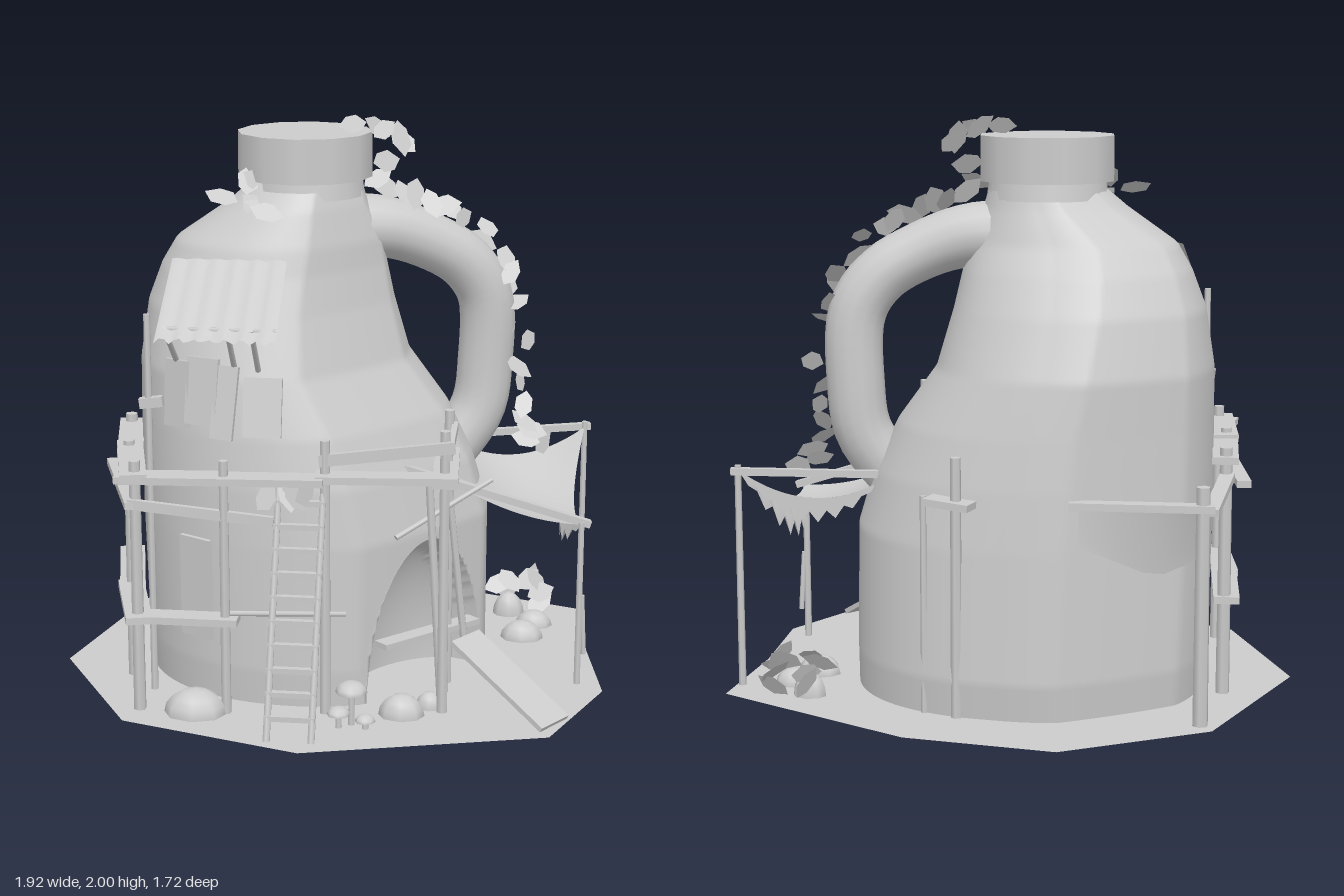
import * as THREE from 'three';

const grey = new THREE.MeshStandardMaterial({ color: 0xcccccc, side: THREE.DoubleSide });
grey.name = 'weatheredGrey';
const V = (x, y, z) => new THREE.Vector3(x, y, z);
let seed = 7;
const rnd = () => (seed = (seed * 16807) % 2147483647) / 2147483647;

// Jug cross-sections: y, xMin, xMax, zMin, zMax
const SECTIONS = [
  [0.03, -0.68, 0.53, -0.62, 0.47], [0.16, -0.69, 0.53, -0.635, 0.48], [0.6, -0.7, 0.53, -0.61, 0.48],
  [0.8, -0.7, 0.47, -0.59, 0.47], [0.97, -0.7, 0.385, -0.565, 0.445], [1.16, -0.7, 0.245, -0.53, 0.4],
  [1.36, -0.67, 0.19, -0.45, 0.33], [1.49, -0.62, 0.165, -0.38, 0.28], [1.58, -0.565, 0.15, -0.32, 0.25],
  [1.7, -0.39, 0.1, -0.27, 0.19], [1.76, -0.32, 0.08, -0.25, 0.15],
];
const POWER = 2.15;
// Flattened sides of the jug: outward x, outward z, distance as a share of the radius
const FLATS = [[0.76, 0.65, 0.85], [-0.65, -0.76, 0.93]];
function section(y) {
  let i = 0;
  while (i < SECTIONS.length - 2 && SECTIONS[i + 1][0] < y) i++;
  const a = SECTIONS[i], b = SECTIONS[i + 1];
  const t = THREE.MathUtils.clamp((y - a[0]) / (b[0] - a[0]), 0, 1);
  const [, x0, x1, z0, z1] = a.map((v, k) => v + (b[k] - v) * t);
  return { cx: (x0 + x1) / 2, rx: (x1 - x0) / 2, cz: (z0 + z1) / 2, rz: (z1 - z0) / 2 };
}
function frontZ(x, y) {
  const s = section(y), d = Math.min(1, Math.abs((x - s.cx) / s.rx));
  return s.cz + s.rz * Math.pow(1 - Math.pow(d, POWER), 1 / POWER);
}
function jugPoint(u, v) {
  let y = 0.03 + 1.73 * v;
  const s = section(y), a = u * Math.PI * 2, R = (s.rx + s.rz) / 2;
  const se = (c) => Math.sign(c) * Math.pow(Math.abs(c), 2 / POWER);
  let x = s.rx * se(Math.cos(a)), z = s.rz * se(Math.sin(a));
  // Lean the right-hand corner a little towards the handle, then flatten the sides
  z -= 0.06 * Math.max(0, x);
  for (const [fx, fz, k] of FLATS) {
    const over = Math.max(0, x * fx + z * fz - k * R) * 0.8;
    x -= fx * over;
    z -= fz * over;
  }
  x += s.cx;
  z += s.cz;
  // Arched niche, with the points near its rim drawn onto the arch
  const nx = 0.78, nz = 0.626, dx = x - 0.34, dz = z - 0.21;
  const side = -nz * dx + nx * dz, d = Math.hypot(side / 0.28, (y - 0.03) / 0.54);
  if (dx * nx + dz * nz > -0.2 && d < 1) {
    if (d > 0.92) {
      const shift = side * (1 / d - 1);
      x -= nz * shift;
      z += nx * shift;
      y = 0.03 + (y - 0.03) / d;
    } else {
      const push = 0.22 * Math.sqrt(1 - d * d);
      x -= nx * push;
      z -= nz * push;
    }
  }
  return [x, y, z];
}

// Indexed surface from a grid of points
function gridSurface(cols, rows, fn, wrap = false) {
  const pos = [], idx = [], n = wrap ? cols : cols + 1;
  for (let j = 0; j <= rows; j++) for (let i = 0; i < n; i++) pos.push(...fn(i / cols, j / rows));
  for (let j = 0; j < rows; j++) for (let i = 0; i < cols; i++) {
    const k = (i + 1) % n, a = j * n + i, b = a + n, c = j * n + k, d = c + n;
    idx.push(a, b, c, c, b, d);
  }
  const g = new THREE.BufferGeometry();
  g.setAttribute('position', new THREE.Float32BufferAttribute(pos, 3));
  g.setIndex(idx);
  g.computeVertexNormals();
  return g;
}

export function createModel() {
  const root = new THREE.Group();
  root.name = 'jugHouse';
  const add = (name, geo, x = 0, y = 0, z = 0) => {
    const m = new THREE.Mesh(geo, grey);
    m.name = name;
    m.position.set(x, y, z);
    root.add(m);
    return m;
  };
  // Round pole between two points
  const pole = (name, a, b, r = 0.018) => {
    const d = b.clone().sub(a), m = add(name, new THREE.CylinderGeometry(r * 0.9, r, d.length(), 6));
    m.position.copy(a).add(b).multiplyScalar(0.5);
    m.quaternion.setFromUnitVectors(V(0, 1, 0), d.normalize());
  };
  // Flat board between two points, face turned up
  const board = (name, a, b, w = 0.08, t = 0.025) => {
    const m = add(name, new THREE.BoxGeometry(w, t, a.distanceTo(b)));
    m.position.copy(a).add(b).multiplyScalar(0.5);
    m.lookAt(b);
  };

  // Ground slab with a shallow underside
  const rim = [[-0.37, -0.865], [0.15, -0.865], [0.885, -0.6], [0.9, -0.18], [0.96, 0.21], [0.785, 0.63],
    [-0.03, 0.855], [-0.655, 0.66], [-0.965, 0.13], [-0.81, -0.53]];
  const slab = (y) => gridSurface(rim.length, 1, (u, v) => {
    const p = rim[Math.round(u * rim.length) % rim.length];
    return v ? [0, y, 0] : [p[0], 0.033, p[1]];
  }, true);
  add('groundTop', slab(0.034));
  const under = slab(0);
  under.setIndex([...under.index.array].reverse());
  under.computeVertexNormals();
  add('groundUnderside', under);

  // Jug body, neck, cap and a handle that flares where it joins
  add('jugBody', gridSurface(180, 120, jugPoint, true));
  add('neck', new THREE.CylinderGeometry(0.2, 0.21, 0.07, 20), -0.12, 1.765, -0.06);
  add('cap', new THREE.CylinderGeometry(0.235, 0.235, 0.155, 12), -0.12, 1.868, -0.065);
  const path = new THREE.CatmullRomCurve3([V(-0.06, 1.6, -0.09), V(0.14, 1.6, -0.15), V(0.3, 1.545, -0.2),
    V(0.43, 1.46, -0.25), V(0.5, 1.34, -0.28), V(0.505, 1.1, -0.29), V(0.48, 0.92, -0.28), V(0.36, 0.74, -0.23)]);
  const across = V(0.35, 0, 0.937);
  add('handle', gridSurface(14, 32, (u, v) => {
    const p = path.getPoint(v), out = path.getTangent(v).cross(across).normalize(), a = u * Math.PI * 2;
    const flare = Math.max(0, 1 - v / 0.35) ** 2, r = 0.1 + 0.03 * flare;
    return p.addScaledVector(out, r * Math.cos(a)).addScaledVector(across, (r + 0.03 * flare) * Math.sin(a)).toArray();
  }, true));

  // Posts: x, z, top, radius
  for (const [x, z, top, r] of [[-0.76, -0.48, 0.84, 0.027], [-0.765, -0.11, 0.9, 0.025], [-0.7, 0.24, 0.9, 0.022],
    [-0.615, 0.55, 0.92, 0.022], [-0.6, 0.37, 1.38, 0.013], [-0.315, 0.55, 0.93, 0.018], [0.02, 0.51, 1.0, 0.02],
    [0.41, 0.185, 1.03, 0.02], [0.415, 0.455, 1.03, 0.02], [0.04, -0.62, 0.92, 0.02], [0.16, -0.6, 0.78, 0.012],
    [0.87, -0.485, 0.82, 0.013], [0.87, 0.145, 0.63, 0.013]]) pole('post', V(x, 0.02, z), V(x, top, z), r);

  // Walkway boards and rails
  const W = 0.86;
  board('walkwayBoard', V(-0.77, W, -0.15), V(-0.69, W, 0.27), 0.09);
  board('walkwayBoard', V(-0.71, W + 0.012, 0.18), V(-0.61, W + 0.012, 0.6), 0.09);
  board('walkwayBoard', V(-0.68, W, 0.55), V(0.02, W + 0.01, 0.54), 0.09);
  board('walkwayBoard', V(-0.6, W - 0.02, 0.47), V(-0.05, W - 0.01, 0.46), 0.08);
  board('walkwayBoard', V(-0.01, W + 0.015, 0.525), V(0.46, W + 0.015, 0.49), 0.08);
  board('walkwayBoard', V(0.42, W, 0.52), V(0.4, W, 0.1), 0.085);
  board('handRail', V(0, 0.93, 0.515), V(0.45, 0.98, 0.475), 0.02, 0.04);
  board('handRail', V(0.43, 0.95, 0.48), V(0.43, 0.97, 0.17), 0.02, 0.03);
  board('sideBoard', V(-0.79, 0.76, -0.5), V(-0.77, 0.8, -0.1), 0.05);
  board('sideBoard', V(-0.81, 0.75, 0.0), V(-0.62, 0.77, 0.58), 0.05);
  board('sideBoard', V(-0.64, 0.775, 0.57), V(-0.15, 0.72, 0.54), 0.02, 0.035);
  board('backLeftBoard', V(-0.8, 0.77, -0.48), V(-0.33, 0.77, -0.56), 0.05);
  board('lowerBoard', V(-0.78, 0.37, -0.14), V(-0.69, 0.37, 0.28), 0.09);
  board('lowerBoard', V(-0.71, 0.37, 0.22), V(-0.6, 0.37, 0.6), 0.09);
  board('lowerBoard', V(-0.65, 0.37, 0.55), V(-0.27, 0.37, 0.55), 0.08);
  pole('lowerRail', V(-0.3, 0.39, 0.54), V(0.09, 0.39, 0.5), 0.01);
  board('backBoard', V(-0.02, 0.76, -0.62), V(0.14, 0.77, -0.6), 0.1);
  pole('brace', V(0.41, 0.03, 0.42), V(0.36, 0.86, 0.42), 0.016);
  pole('brace', V(0.47, 0.2, 0.18), V(0.41, 0.8, 0.22), 0.014);
  pole('brace', V(0.25, 0.64, 0.42), V(0.56, 0.79, 0.2), 0.01);
  pole('leaningStick', V(0.89, 0.14, 0.13), V(0.88, 0.36, 0.14), 0.01);

  // Ladder
  const lo = V(-0.07, 0.03, 0.77), hi = V(-0.06, 0.86, 0.5);
  for (const s of [-0.075, 0.075]) {
    pole('ladderRail', lo.clone().add(V(s, 0, 0)), hi.clone().add(V(s, 0, 0)), 0.013);
  }
  for (let i = 1; i < 11; i++) {
    const p = lo.clone().lerp(hi, i / 11);
    board('ladderRung', V(p.x - 0.085, p.y, p.z), V(p.x + 0.085, p.y, p.z), 0.022, 0.018);
  }

  // Entrance ramp and threshold
  board('ramp', V(0.48, 0.25, 0.305), V(0.8, 0.04, 0.53), 0.15, 0.018);
  board('threshold', V(0.2, 0.25, 0.42), V(0.5, 0.24, 0.1), 0.06, 0.02);

  // Corrugated awning with a ragged lower edge, on props
  add('awning', gridSurface(24, 8, (u, v) => {
    const rag = v === 1 ? 0.015 * Math.abs(Math.sin(u * 24)) : 0;
    const w = 0.003 * Math.sin(u * 36);
    return [-0.53 + 0.39 * u + 0.01 * v * (u - 0.5), 1.55 - 0.22 * v + w + rag, 0.26 + 0.325 * v + w - rag];
  }));
  for (const x of [-0.51, -0.3, -0.22]) pole('awningProp', V(x, 1.2, frontZ(x, 1.2)), V(x, 1.37, 0.53), 0.01);
  pole('awningBeam', V(-0.53, 1.365, 0.52), V(-0.14, 1.365, 0.52), 0.01);

  // Window shutters, wall patch and small door
  const panel = (name, x, y, w, h, roll = 0) => {
    const z = frontZ(x, y), e = 0.03;
    const tx = V(2 * e, 0, frontZ(x + e, y) - frontZ(x - e, y)), ty = V(0, 2 * e, frontZ(x, y + e) - frontZ(x, y - e));
    const m = add(name, new THREE.BoxGeometry(w, h, 0.016), x, y, z);
    m.lookAt(V(x, y, z).add(tx.cross(ty)));
    m.rotateZ(roll);
    m.translateZ(0.008);
  };
  panel('shutter', -0.5, 1.1, 0.11, 0.23, 0.04);
  panel('window', -0.41, 1.12, 0.12, 0.23);
  panel('shutter', -0.33, 1.09, 0.08, 0.25, -0.05);
  panel('wallPatch', -0.2, 1.08, 0.13, 0.2);
  panel('smallDoor', -0.435, 0.43, 0.13, 0.36);
  board('windowSill', V(-0.63, 1.07, 0.37), V(-0.55, 1.08, 0.37), 0.03, 0.035);

  // Cloth canopy on the left side, sagging, with torn hanging edges
  const cloth = [V(0.4, 0.76, -0.36), V(0.87, 0.8, -0.48), V(0.45, 0.74, 0.14), V(0.87, 0.62, 0.14)];
  add('canopyCloth', gridSurface(14, 14, (u, v) => {
    const p = cloth[0].clone().lerp(cloth[1], u).lerp(cloth[2].clone().lerp(cloth[3], u), v);
    p.y -= 0.3 * u * (1 - u) * (1 - 0.6 * v) + 0.3 * u * v * (1 - v);
    p.x -= 0.12 * u * v * (1 - v);
    return p.toArray();
  }));
  const fringe = (a, b, inward, length) => add('canopyFringe', gridSurface(16, 1, (u, v) => {
    const sag = u * (1 - u), drop = v * sag * (Math.round(u * 16) % 2 ? length : length * 0.55);
    return a.clone().lerp(b, u).addScaledVector(inward, sag * (0.12 + 0.2 * v)).add(V(0, -0.3 * sag - drop, 0)).toArray();
  }));
  fringe(cloth[1], cloth[3], V(-1, 0, 0), 0.55);
  fringe(cloth[0], cloth[1], V(0, 0, 0), 0.35);
  board('canopyRail', V(0.25, 0.83, 0.22), V(0.9, 0.62, 0.13), 0.03, 0.025);
  board('canopyRail', V(0.4, 0.79, -0.36), V(0.89, 0.8, -0.5), 0.025, 0.025);
  add('backLeftCloth', gridSurface(6, 4, (u, v) => [
    -0.76 + 0.4 * u, 0.78 - 0.26 * v * (1 - 0.7 * Math.abs(u - 0.4)), -0.48 - 0.07 * u + 0.08 * v * (1 - u)]));

  // Leaves
  const leafShape = new THREE.Shape([[0, -0.05], [0.03, -0.02], [0.028, 0.02], [0, 0.055], [-0.03, 0.02], [-0.025, -0.025]]
    .map((p) => new THREE.Vector2(...p)));
  const leafGeo = new THREE.ShapeGeometry(leafShape);
  const leaf = (x, y, z, s) => {
    const m = add('leaf', leafGeo, x, y, z);
    m.rotation.set(-1.1 + rnd() * 0.7, rnd() * 1.2 - 0.1, rnd() * 6);
    m.scale.setScalar(s);
  };
  const vine = new THREE.CatmullRomCurve3([V(0.08, 1.96, -0.02), V(0.2, 1.94, -0.03), V(0.16, 1.78, -0.08), V(0.29, 1.7, -0.15),
    V(0.42, 1.65, -0.2), V(0.54, 1.5, -0.26), V(0.59, 1.33, -0.3), V(0.64, 1.1, -0.3), V(0.65, 0.88, -0.28), V(0.71, 0.79, -0.25)]);
  for (let i = 0; i <= 28; i++) {
    const p = vine.getPoint(i / 28);
    leaf(p.x + (rnd() - 0.5) * 0.06, p.y + (rnd() - 0.5) * 0.03, p.z + (rnd() - 0.5) * 0.12, 1 + rnd() * 0.3);
  }
  const clump = (n, x, y, z, r) => {
    for (let i = 0; i < n; i++) leaf(x + (rnd() - 0.5) * r, y + (rnd() - 0.5) * r * 0.7, z + (rnd() - 0.5) * r * 0.6, 1.2);
  };
  clump(8, -0.29, 1.74, 0.15, 0.16);
  clump(6, -0.11, 0.83, 0.54, 0.14);
  clump(10, 0.66, 0.11, -0.54, 0.2);

  // Rocks and mushrooms
  for (const [x, z, r, h] of [[-0.42, 0.56, 0.11, 0.09], [0.28, 0.5, 0.08, 0.08], [0.37, 0.42, 0.05, 0.06],
    [0.66, -0.28, 0.08, 0.07], [0.7, -0.42, 0.07, 0.06], [0.6, -0.53, 0.06, 0.09]]) {
    add('rock', new THREE.SphereGeometry(1, 8, 4, 0, Math.PI * 2, 0, Math.PI / 2), x, 0.03, z).scale.set(r, h, r * 0.8);
  }
  for (const [x, z, h, r] of [[0.12, 0.6, 0.16, 0.055], [0.08, 0.63, 0.09, 0.04], [0.17, 0.63, 0.07, 0.035]]) {
    pole('mushroomStem', V(x, 0.03, z), V(x, h, z), 0.012);
    add('mushroomCap', new THREE.SphereGeometry(r, 8, 4, 0, Math.PI * 2, 0, Math.PI / 2), x, h - 0.01, z).scale.y = 0.7;
  }
  return root;
}
